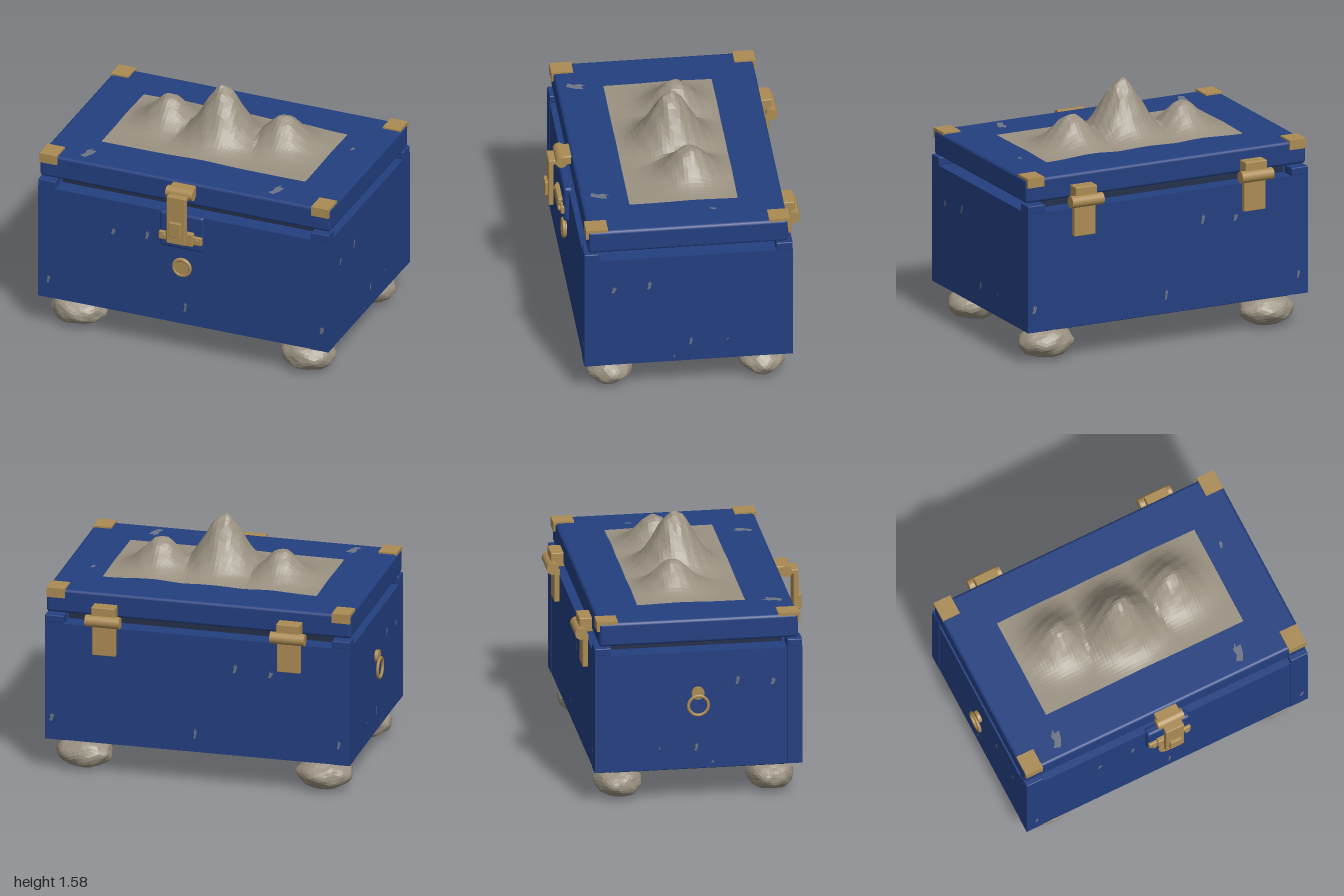
import * as THREE from 'three';
import { RoundedBoxGeometry } from 'three/addons/geometries/RoundedBoxGeometry.js';

const material = (name, color, flatShading = false) => {
  const m = new THREE.MeshStandardMaterial({ color, flatShading });
  m.name = name;
  return m;
};

export function createModel() {
  const blue = material('blue paint', 0x233f80);
  const dark = material('dark lining', 0x232f4a);
  const brass = material('brass', 0xab8b54);
  const stone = material('stone', 0x9a9181, true);
  const chipGrey = material('bare metal chip', 0x6e7484);
  chipGrey.side = THREE.DoubleSide;

  const model = new THREE.Group();
  model.name = 'chest';
  const add = (name, geometry, mat, parent = model) => {
    const mesh = new THREE.Mesh(geometry, mat);
    mesh.name = name;
    parent.add(mesh);
    return mesh;
  };
  // Box given by its limits on each axis; r rounds the edges
  const box = (name, mat, [x0, x1], [y0, y1], [z0, z1], r = 0, parent = model) => {
    const size = [x1 - x0, y1 - y0, z1 - z0];
    const g = r ? new RoundedBoxGeometry(...size, 2, r) : new THREE.BoxGeometry(...size);
    g.translate((x0 + x1) / 2, (y0 + y1) / 2, (z0 + z1) / 2);
    return add(name, g, mat, parent);
  };
  // Cylinder lying along the x or z axis
  const rod = (name, mat, axis, radius, length, x, y, z, parent = model, sides = 24) => {
    const g = new THREE.CylinderGeometry(radius, radius, length, sides);
    if (axis === 'x') g.rotateZ(Math.PI / 2);
    else g.rotateX(Math.PI / 2);
    g.translate(x, y, z);
    return add(name, g, mat, parent);
  };

  // Body: walls, corner posts, dark inner lining and base plate
  box('body', blue, [-0.963, 0.995], [0.225, 0.995], [-0.674, 0.627]);
  box('lining', dark, [-0.845, 0.875], [0.99, 1.045], [-0.565, 0.52]);
  box('basePlate', blue, [-0.885, 0.917], [0.19, 0.235], [-0.585, 0.54], 0.012);
  for (const [px, sx] of [[[-0.965, -0.85], 'Right'], [[0.877, 0.997], 'Left']]) {
    for (const [pz, sz] of [[[0.535, 0.63], 'front'], [[-0.677, -0.573], 'back']]) {
      box(sz + sx + 'Post', blue, px, [0.225, 1.0], pz);
      box(sz + sx + 'PostCap', blue, px, [0.998, 1.047], pz, 0.006);
    }
  }

  // Lid with brass corner caps
  box('lid', blue, [-0.965, 0.997], [1.057, 1.212], [-0.648, 0.605], 0.02);
  for (const cx of [[-0.962, -0.845], [0.874, 0.992]]) {
    for (const [top, lip] of [[[0.48, 0.618], [0.6, 0.618]], [[-0.662, -0.53], [-0.662, -0.644]]]) {
      const cap = new THREE.Group();
      cap.name = 'cornerCap';
      model.add(cap);
      box('capTop', brass, cx, [1.2, 1.222], top, 0, cap);
      box('capLip', brass, cx, [1.16, 1.21], lip, 0, cap);
    }
  }

  // Three stone peaks rising from a rectangular slab in the lid
  const peaks = [
    { x: 0.01, z: -0.03, h: 0.362, s: 0.124 },
    { x: -0.38, z: -0.1, h: 0.188, s: 0.11 },
    { x: 0.395, z: -0.1, h: 0.2, s: 0.115 },
  ];
  const mountains = new THREE.PlaneGeometry(1.377, 0.679, 56, 28);
  mountains.rotateX(-Math.PI / 2).translate(0.0185, 0, -0.0265);
  const mp = mountains.attributes.position;
  for (let i = 0; i < mp.count; i++) {
    const x = mp.getX(i), z = mp.getZ(i);
    let h = 0;
    for (const p of peaks) {
      const d2 = (x - p.x) ** 2 + (z - p.z) ** 2;
      h = Math.max(h, p.h * Math.exp(-d2 / (2 * p.s * p.s)));
    }
    const rough = 1 + 0.035 * Math.sin(x * 47 + z * 31) * Math.sin(z * 53 - x * 19);
    mp.setY(i, 1.215 + h * rough);
  }
  mountains.computeVertexNormals();
  add('stonePeaks', mountains, stone);

  // Lumpy boulder feet
  const boulder = (seed) => {
    const g = new THREE.IcosahedronGeometry(1, 5);
    const p = g.attributes.position, v = new THREE.Vector3();
    for (let i = 0; i < p.count; i++) {
      v.fromBufferAttribute(p, i);
      const n = Math.sin(v.x * 4 + seed) * Math.sin(v.y * 5 - seed * 2) * Math.sin(v.z * 4.5 + seed * 3)
        + 0.4 * Math.sin(v.x * 9 + v.y * 7 + seed) * Math.cos(v.z * 8 - seed);
      v.multiplyScalar(1 + 0.06 * n);
      p.setXYZ(i, v.x * 0.177, v.y * 0.1, v.z * 0.148);
    }
    g.computeVertexNormals();
    return g;
  };
  [[-0.76, 0.455], [0.786, 0.455], [-0.76, -0.503], [0.786, -0.503]].forEach(([x, z], i) => {
    add('boulderFoot', boulder(i * 1.7 + 0.6), stone).position.set(x, 0.105, z);
  });

  // Hasp: backing plate, barrel, strap, catch and side knobs
  const hasp = new THREE.Group();
  hasp.name = 'hasp';
  model.add(hasp);
  box('backingPlate', blue, [-0.135, 0.163], [0.765, 1.01], [0.6, 0.66], 0.018, hasp);
  box('lidMount', brass, [-0.065, 0.09], [1.14, 1.2], [0.595, 0.665], 0.008, hasp);
  rod('haspBarrel', brass, 'x', 0.036, 0.18, 0.013, 1.165, 0.665, hasp);
  box('strapTop', brass, [-0.05, 0.077], [1.135, 1.168], [0.66, 0.745], 0.008, hasp);
  box('strap', brass, [-0.05, 0.077], [0.84, 1.168], [0.712, 0.745], 0.006, hasp);
  box('strapBlock', brass, [-0.028, 0.052], [0.897, 0.997], [0.74, 0.765], 0.005, hasp);
  box('catch', brass, [-0.077, 0.103], [0.81, 0.9], [0.65, 0.69], 0.008, hasp);
  box('catchBar', brass, [-0.132, 0.158], [0.82, 0.877], [0.65, 0.678], 0.008, hasp);
  for (const x of [-0.1, 0.127]) rod('catchKnob', brass, 'z', 0.017, 0.03, x, 0.85, 0.675, hasp, 12);

  // Round lock boss with a raised rim
  rod('lockBoss', brass, 'z', 0.055, 0.03, 0.013, 0.63, 0.638);
  add('lockRim', new THREE.TorusGeometry(0.055, 0.012, 8, 32), brass).position.set(0.013, 0.63, 0.645);

  // Back hinges
  for (const x of [-0.578, 0.612]) {
    const hinge = new THREE.Group();
    hinge.name = 'hinge';
    model.add(hinge);
    rod('hingeBarrel', brass, 'x', 0.038, 0.222, x, 1.05, -0.72, hinge);
    box('upperLeaf', brass, [x - 0.075, x + 0.075], [1.05, 1.142], [-0.727, -0.64], 0.006, hinge);
    box('lowerLeaf', brass, [x - 0.075, x + 0.075], [0.817, 1.03], [-0.706, -0.67], 0.006, hinge);
  }

  // Ring pull on the right side
  const ring = new THREE.TorusGeometry(0.063, 0.01, 8, 32).rotateY(Math.PI / 2);
  add('pullRing', ring, brass).position.set(-0.99, 0.648, -0.028);
  rod('pullBoss', brass, 'x', 0.04, 0.025, -0.973, 0.725, -0.028);

  // Worn paint chips as thin jagged patches
  const chip = new THREE.Shape([[-0.3, 0.15], [0.1, 0.5], [0.05, 0.25], [0.5, 0.3], [0.35, -0.1],
    [0, -0.5], [-0.5, -0.4], [-0.2, -0.1]].map(([x, y]) => new THREE.Vector2(x, y)));
  const chipGeometry = new THREE.ShapeGeometry(chip);
  const addChip = (pos, w, h, rx = 0, ry = 0) => {
    const c = add('paintChip', chipGeometry, chipGrey);
    c.position.set(...pos);
    c.rotation.set(rx, ry, 0);
    c.scale.set(w, h, 1);
  };
  for (const [x, y, w, h] of [[-0.455, 0.785, 0.035, 0.05], [-0.227, 0.805, 0.03, 0.07],
    [0.03, 0.35, 0.022, 0.08], [0.953, 0.375, 0.035, 0.06], [-0.895, 0.36, 0.025, 0.06]]) {
    addChip([x, y, 0.633], w, h);
    addChip([x, y, -0.68], w, h, 0, Math.PI);
  }
  for (const [z, y, w, h] of [[0.445, 0.78, 0.035, 0.05], [0.222, 0.8, 0.03, 0.065],
    [-0.038, 0.37, 0.025, 0.06], [-0.27, 0.37, 0.012, 0.02], [0.065, 0.265, 0.02, 0.015]]) {
    addChip([1.0, y, z], w, h, 0, Math.PI / 2);
    addChip([-0.968, y, z], w, h, 0, -Math.PI / 2);
  }
  for (const [x, z, w, h] of [[-0.685, 0.48, 0.08, 0.13], [0.585, 0.48, 0.075, 0.13], [0.81, -0.205, 0.03, 0.05]])
    addChip([x, 1.216, z], w, h, -Math.PI / 2);

  return model;
}
